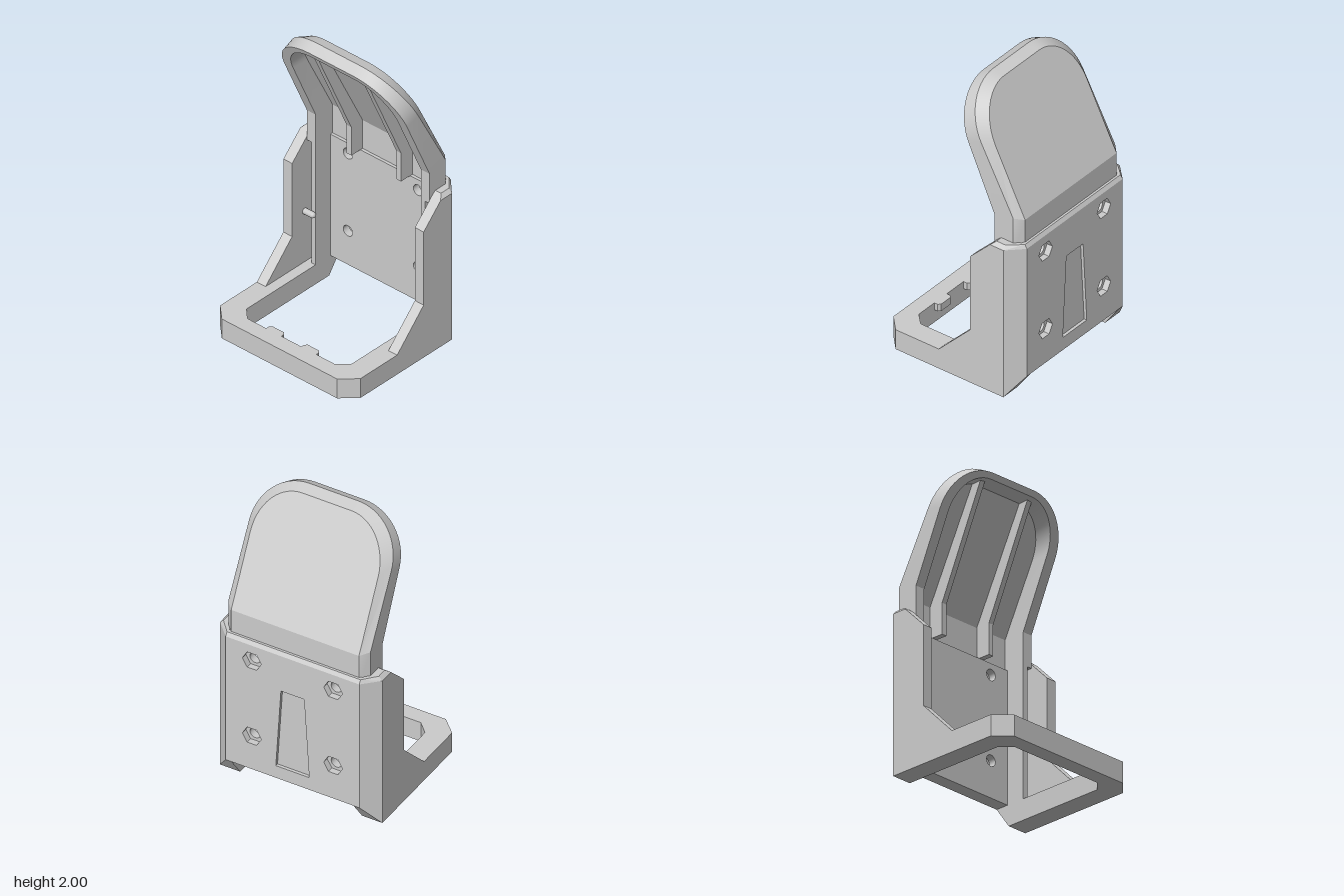
import * as THREE from 'three';
import { toCreasedNormals } from 'three/addons/utils/BufferGeometryUtils.js';
import { ConvexGeometry } from 'three/addons/geometries/ConvexGeometry.js';

const grey = new THREE.MeshStandardMaterial({ color: 0xcccccc });
const V = (x, y, z) => new THREE.Vector3(x, y, z);
const poly = (pts) => new THREE.Shape(pts.map(([x, y]) => new THREE.Vector2(x, y)));
const extrude = (shape, depth) =>
  new THREE.ExtrudeGeometry(shape, { depth, bevelEnabled: false, curveSegments: 16 });
// side profile given as (z, y), swept from x0 to x1
const sideways = (pts, x0, x1) => extrude(poly(pts), x1 - x0).rotateY(-Math.PI / 2).translate(x1, 0, 0);
const box = (x0, x1, y0, y1, z0, z1) => new THREE.BoxGeometry(x1 - x0, y1 - y0, z1 - z0)
  .translate((x0 + x1) / 2, (y0 + y1) / 2, (z0 + z1) / 2);

// Tilted tray: strips lofted between curves that follow the rounded outline
function trayGeometry() {
  const floor = [-0.43, 1.225, -0.06, 1.96], front = [-0.28, 1.23, 0.05, 1.965];
  const edge = [-0.42, 1.26, -0.02, 2.0], back = [-0.47, 1.245, -0.10, 1.98];
  // line (z0, y0, z1, y1), half width, top
  const curves = [
    [floor, 0, 0.95], [floor, 0.42, 0.95], [front, 0.42, 0.95], [front, 0.49, 1],
    [edge, 0.49, 1], [back, 0.44, 1], [back, 0, 1],
  ];
  const half = [-2, -1];
  const N = 14;
  for (let i = 0; i <= N; i++) half.push(i / N);
  const path = [...half.map((t) => [t, 1]), ...half.map((t) => [t, -1]).reverse()];
  const at = ([t, s], [[z0, y0, z1, y1], w, top]) => {
    if (t === -2) return V(s * w, 1.02, z0);
    if (t === -1) return V(s * w, y0, z0);
    const a = t * Math.PI / 2;
    const v = 0.6 + (top - 0.6) * Math.sin(a);
    const x = w ? 0.17 + (w - 0.17) * Math.cos(a) : 0;
    return V(s * x, y0 + (y1 - y0) * v, z0 + (z1 - z0) * v);
  };
  const pos = [];
  for (let i = 0; i < path.length - 1; i++) {
    for (let j = 0; j < curves.length - 1; j++) {
      const a = at(path[i], curves[j]), b = at(path[i], curves[j + 1]);
      const c = at(path[i + 1], curves[j + 1]), d = at(path[i + 1], curves[j]);
      for (const tri of [[a, b, c], [a, c, d]]) {
        const area = tri[1].clone().sub(tri[0]).cross(tri[2].clone().sub(tri[0])).length();
        if (area > 1e-9) for (const p of tri) pos.push(p.x, p.y, p.z);
      }
    }
  }
  const g = new THREE.BufferGeometry();
  g.setAttribute('position', new THREE.Float32BufferAttribute(pos, 3));
  return toCreasedNormals(g, 0.35);
}

// Back plate layer with four bolt openings of the given side count
function plateShape(top, radius, sides) {
  const s = poly([[-0.46, 0.14], [0.46, 0.14], [0.46, top], [-0.46, top]]);
  for (const x of [-0.28, 0.28]) for (const y of [0.385, 0.945]) {
    const hole = [];
    for (let i = 0; i < sides; i++) {
      const a = i / sides * Math.PI * 2;
      hole.push(new THREE.Vector2(x + radius * Math.cos(a), y + radius * Math.sin(a)));
    }
    s.holes.push(new THREE.Path(hole));
  }
  return s;
}

export function createModel() {
  const model = new THREE.Group();
  model.name = 'holder';
  const add = (name, geometry) => {
    const mesh = new THREE.Mesh(geometry, grey);
    mesh.name = name;
    model.add(mesh);
    return mesh;
  };

  // Base frame, open toward the back
  add('baseFrame', extrude(poly([
    [0.56, -0.4], [0.56, 0.41], [0.46, 0.505], [-0.46, 0.505], [-0.56, 0.41], [-0.56, -0.4],
    [-0.42, -0.4], [-0.42, 0.33], [-0.35, 0.4], [0.35, 0.4], [0.42, 0.33], [0.42, -0.4],
  ]), 0.14).rotateX(Math.PI / 2).translate(0, 0.14, 0));

  // Back plate: nut pockets and tapered recess outside, bolt holes inside
  const outer = plateShape(1.06, 0.065, 6);
  const taper = [[-0.115, 0.23], [0.115, 0.23], [0.08, 0.8], [-0.08, 0.8]];
  outer.holes.push(new THREE.Path(taper.map(([x, y]) => new THREE.Vector2(x, y))));
  add('backPlateOuter', extrude(outer, 0.04).translate(0, 0, -0.5));
  add('backPlateInner', toCreasedNormals(
    extrude(plateShape(1.02, 0.037, 28), 0.05).translate(0, 0, -0.46), 0.5));
  add('recessPanel', extrude(poly(taper), 0.02).translate(0, 0, -0.48));
  add('backPlateTop', sideways(
    [[-0.5, 1.06], [-0.46, 1.06], [-0.46, 1.085], [-0.485, 1.085]], -0.46, 0.46));

  for (const s of [1, -1]) {
    const side = s > 0 ? 'left' : 'right';
    const hull = (pts) => new ConvexGeometry(pts.map(([x, y, z]) => V(s * x, y, z)));
    const span = (a, b) => (s > 0 ? [a, b] : [-b, -a]);

    // Sloped heel of the base arm
    add(side + 'Heel', hull([
      [0.42, 0, -0.4], [0.56, 0, -0.4], [0.42, 0.14, -0.4], [0.56, 0.14, -0.4],
      [0.42, 0.14, -0.5], [0.46, 0.14, -0.5],
    ]));
    // Side wall with bevelled corner post and cap
    add(side + 'Wall', sideways([
      [-0.4, 0.14], [0.085, 0.14], [-0.15, 0.38], [-0.15, 0.91], [-0.3, 1.06], [-0.4, 1.06],
    ], ...span(0.49, 0.56)));
    const plan = [[0.46, -0.5], [0.56, -0.4], [0.49, -0.4], [0.46, -0.41]];
    add(side + 'CornerPost', hull([0.14, 1.06].flatMap((y) => plan.map(([x, z]) => [x, y, z]))));
    add(side + 'WallCap', hull([
      [0.46, 1.06, -0.5], [0.56, 1.06, -0.4], [0.56, 1.06, -0.3], [0.49, 1.06, -0.3],
      [0.46, 1.06, -0.46], [0.46, 1.085, -0.485], [0.535, 1.085, -0.4],
      [0.535, 1.085, -0.33], [0.49, 1.085, -0.33], [0.46, 1.085, -0.46],
    ]));
    // Inner rail under the tray, with its foot and a rounded retaining peg
    add(side + 'Rail', box(...span(0.42, 0.455), 0.14, 1.02, -0.42, -0.28));
    add(side + 'TrayFoot', box(...span(0.42, 0.49), 1.015, 1.03, -0.42, -0.28));
    const peg = new THREE.CapsuleGeometry(0.02, 0.07, 6, 14).rotateZ(Math.PI / 2);
    add(side + 'Peg', peg.translate(s * 0.46, 0.51, -0.26));

    // Rib along the tray floor
    add(side + 'Rib', sideways([
      [-0.45, 1.02], [-0.33, 1.02], [-0.33, 1.225], [-0.01, 1.93], [-0.09, 1.94], [-0.45, 1.24],
    ], ...span(0.18, 0.217)));

    // Small chamfered tab on the front bar
    const tab = extrude(poly([
      [-0.06, 0.41], [-0.06, 0.375], [-0.045, 0.36], [0.045, 0.36], [0.06, 0.375], [0.06, 0.41],
    ]), 0.05).rotateX(Math.PI / 2);
    add(side + 'Tab', tab.translate(s * 0.14, 0.14, 0));
  }

  add('tray', trayGeometry());
  return model;
}
